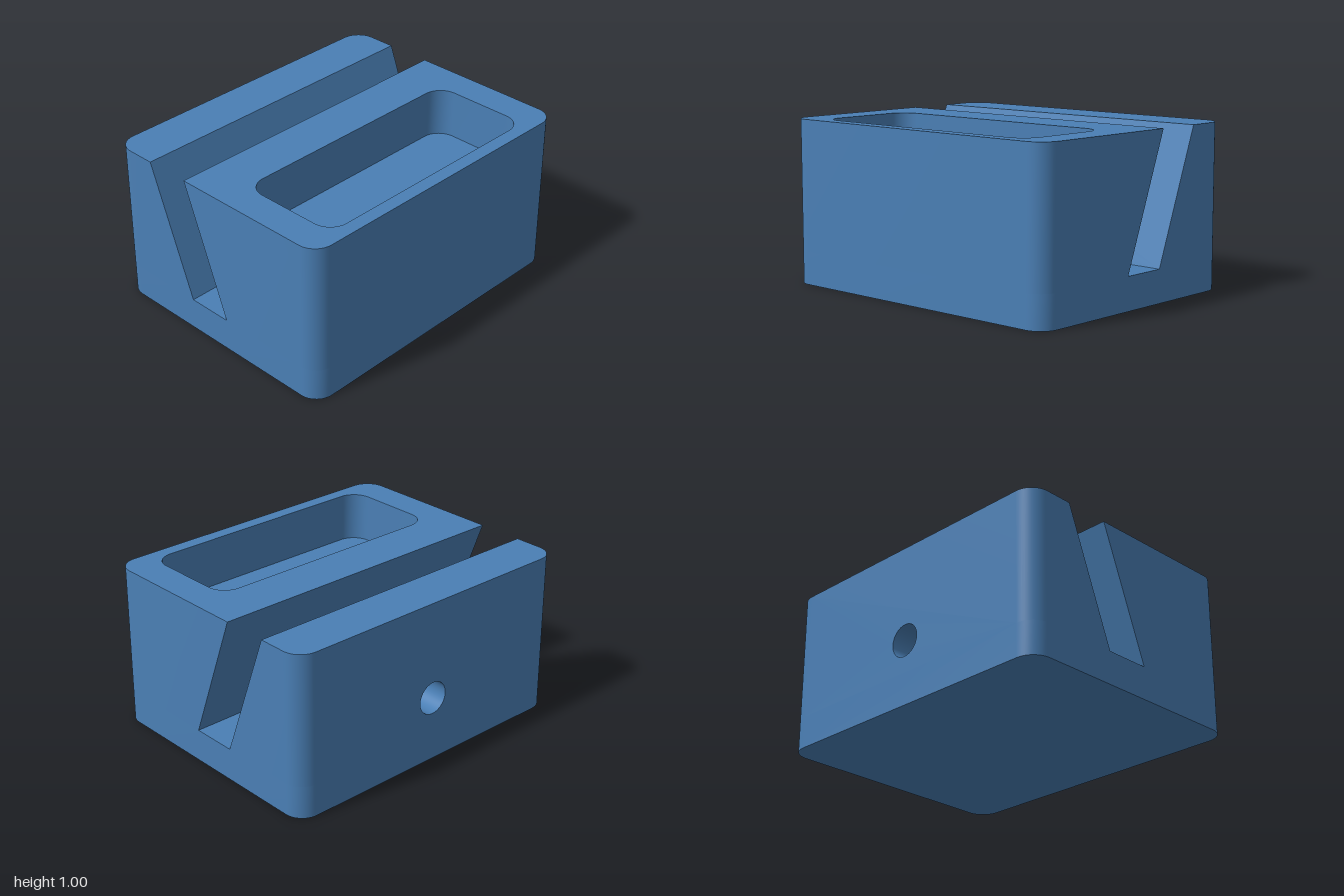
import * as THREE from 'three';
import { mergeGeometries, toCreasedNormals } from 'three/addons/utils/BufferGeometryUtils.js';

const W = 1, D = 0.8, H = 1, R = 0.12;        // half width, half depth, height, corner radius
const SLOT_Y = 0.2, POCKET_Y = 0.7;           // slot floor and pocket floor heights
const HOLE_R = 0.1, HOLE_Y = 0.4;
const lean = y => -0.304 * (y - SLOT_Y) / (H - SLOT_Y);
const slotFront = y => 0.083 + lean(y);       // z of the two leaning slot walls
const slotBack = y => -0.201 + lean(y);

const V2 = (x, y) => new THREE.Vector2(x, y);
const V3 = (x, y, z) => new THREE.Vector3(x, y, z);

// quarter circle in plan, counterclockwise; plan coordinates are (x, -z)
function corner(cx, cs, quarter, r = R, n = 12) {
  return Array.from({ length: n + 1 }, (_, i) => {
    const a = (quarter + i / n) * Math.PI / 2;
    return V2(cx + r * Math.cos(a), cs + r * Math.sin(a));
  });
}

function roundedRect(x0, x1, s0, s1, r) {
  return [
    ...corner(x0 + r, s0 + r, 2, r), ...corner(x1 - r, s0 + r, 3, r),
    ...corner(x1 - r, s1 - r, 0, r), ...corner(x0 + r, s1 - r, 1, r),
  ];
}

const rect = (x0, x1, y0, y1) => [V2(x0, y0), V2(x1, y0), V2(x1, y1), V2(x0, y1)];
const atHeight = (points, y) => points.map(p => V3(p.x, y, -p.y));
const closed = points => [...points, points[0]];

// wall of quads between two matching lines of points
function strip(a, b) {
  const points = [];
  for (let i = 0; i < a.length - 1; i++) {
    points.push(a[i], a[i + 1], b[i + 1], a[i], b[i + 1], b[i]);
  }
  return new THREE.BufferGeometry().setFromPoints(points);
}

// flat face from an outline and an optional hole, placed by a rule
function face(outline, place, hole) {
  const shape = new THREE.Shape(outline);
  if (hole) shape.holes.push(new THREE.Path(hole));
  const flat = new THREE.ShapeGeometry(shape).toNonIndexed().getAttribute('position');
  const points = [];
  for (let i = 0; i < flat.count; i++) points.push(place(flat.getX(i), flat.getY(i)));
  return new THREE.BufferGeometry().setFromPoints(points);
}

const level = y => (x, s) => V3(x, y, -s);

export function createModel() {
  const model = new THREE.Group();
  model.name = 'slottedDeskStand';
  const blue = new THREE.MeshStandardMaterial({ color: 0x4a7fb5 });
  blue.name = 'blue';

  function add(name, parts) {
    const geometry = mergeGeometries(parts);
    geometry.computeVertexNormals();
    const mesh = new THREE.Mesh(toCreasedNormals(geometry, 0.6), blue);
    mesh.name = name;
    model.add(mesh);
  }

  // base slab with the slot floor
  const outline = roundedRect(-W, W, -D, D, R);
  add('base', [
    strip(atHeight(closed(outline), 0), atHeight(closed(outline), SLOT_Y)),
    face(outline, (x, s) => V3(x, 0, s)),
    face(rect(-W, W, -slotFront(SLOT_Y), -slotBack(SLOT_Y)), level(SLOT_Y)),
  ]);

  // front block with the pocket opening
  const pocket = roundedRect(-0.8, 0.8, -0.715, -0.075, R);
  const frontPlan = y => [
    V2(-W, -slotFront(y)),
    ...corner(-W + R, -D + R, 2), ...corner(W - R, -D + R, 3),
    V2(W, -slotFront(y)),
  ];
  const wallRect = rect(-W, W, SLOT_Y, H);
  add('frontBlock', [
    strip(atHeight(frontPlan(SLOT_Y), SLOT_Y), atHeight(frontPlan(H), H)),
    face(frontPlan(H), level(H), pocket),
    face(wallRect, (x, y) => V3(-x, y, slotFront(y))),
  ]);
  add('pocket', [
    strip(atHeight(closed(pocket), H), atHeight(closed(pocket), POCKET_Y)),
    face(pocket, level(POCKET_Y)),
  ]);

  // back block with a round hole through to the slot
  const circle = Array.from({ length: 48 }, (_, i) => {
    const a = i / 48 * Math.PI * 2;
    return V2(HOLE_R * Math.cos(a), HOLE_Y + HOLE_R * Math.sin(a));
  });
  const rightEnd = y => [V2(W, -slotBack(y)), ...corner(W - R, D - R, 0)];
  const leftEnd = y => [...corner(-W + R, D - R, 1), V2(-W, -slotBack(y))];
  add('backBlock', [
    ...[rightEnd, leftEnd].map(end => strip(atHeight(end(SLOT_Y), SLOT_Y), atHeight(end(H), H))),
    face([...rightEnd(H), ...leftEnd(H)], level(H)),
    face(wallRect, (x, y) => V3(x, y, slotBack(y)), circle),
    face(rect(-W + R, W - R, SLOT_Y, H), (x, y) => V3(-x, y, -D), circle),
  ]);
  const ring = closed(circle);
  add('cableHole', [
    strip(ring.map(p => V3(p.x, p.y, slotBack(p.y))), ring.map(p => V3(p.x, p.y, -D))),
  ]);

  return model;
}
